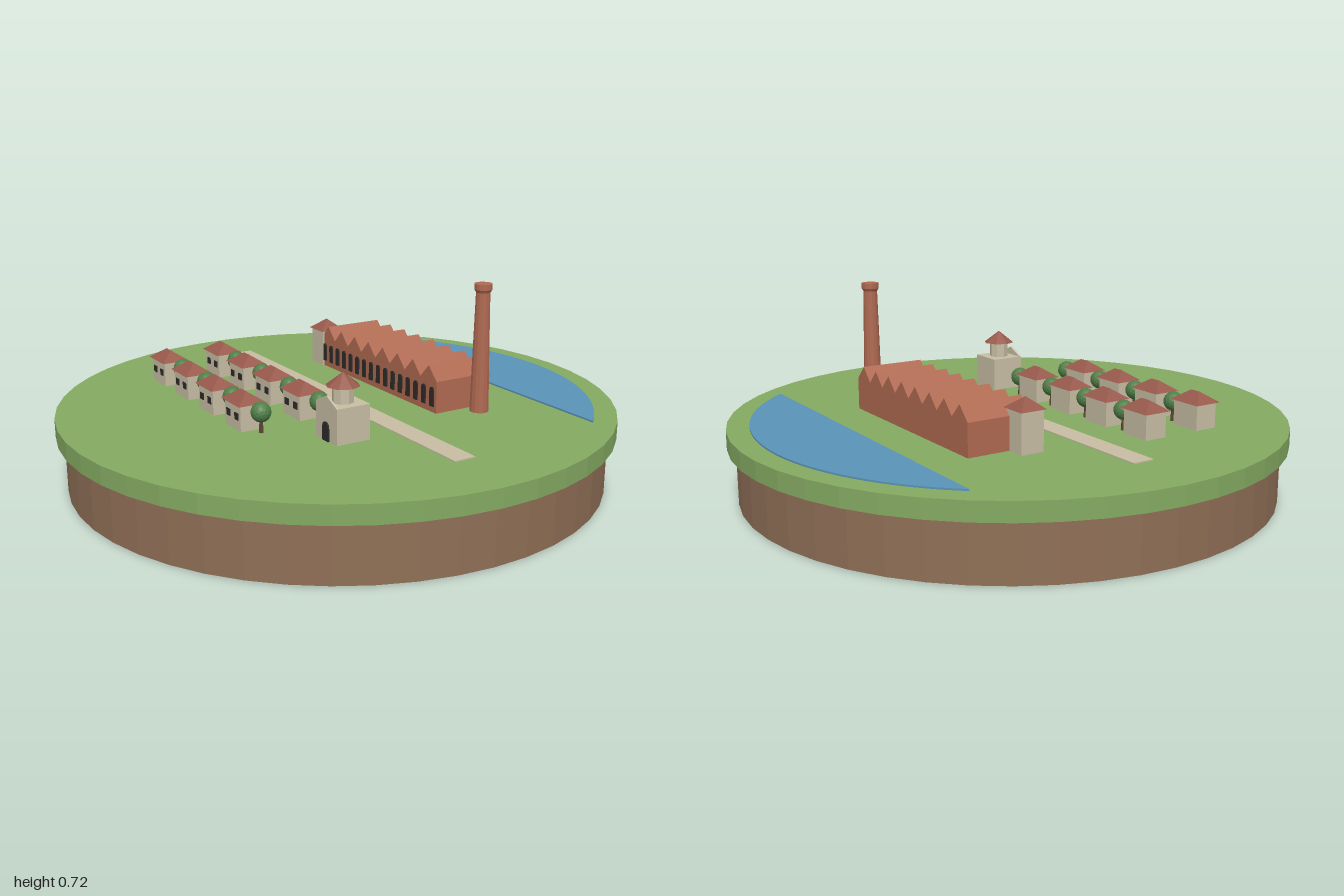
import * as THREE from 'three';
import { ConvexGeometry } from 'three/addons/geometries/ConvexGeometry.js';

const GROUND = 0.265;

function material(name, color) {
  const m = new THREE.MeshStandardMaterial({ color, flatShading: true });
  m.name = name;
  return m;
}

export function createModel() {
  const grass = material('grass', 0x84aa62);
  const soil = material('soil', 0x8f6f56);
  const water = material('water', 0x5a93b8);
  const paving = material('paving', 0xc8bda3);
  const plaster = material('plaster', 0xc8bea4);
  const brick = material('brick', 0xb06a52);
  const tile = material('roof tile', 0x98594c);
  const dark = material('dark opening', 0x2e2a2a);
  const leaf = material('leaf', 0x517f48);
  const bark = material('bark', 0x5d4532);

  const model = new THREE.Group();
  model.name = 'factoryTown';
  // Everything on the disc follows one slanted street
  const town = new THREE.Group();
  town.name = 'town';
  town.rotation.y = -THREE.MathUtils.degToRad(20);
  town.position.y = GROUND;
  model.add(town);

  function add(parent, name, geometry, mat, x = 0, y = 0, z = 0) {
    const mesh = new THREE.Mesh(geometry, mat);
    mesh.name = name;
    mesh.position.set(x, y, z);
    parent.add(mesh);
    return mesh;
  }
  function group(name, x, z) {
    const g = new THREE.Group();
    g.name = name;
    g.position.set(x, 0, z);
    town.add(g);
    return g;
  }
  // Box standing on its base
  function block(parent, name, w, h, d, mat, x = 0, y = 0, z = 0) {
    return add(parent, name, new THREE.BoxGeometry(w, h, d), mat, x, y + h / 2, z);
  }
  // Hipped roof; a zero ridge gives a pyramid
  function hipRoof(w, d, h, ridge) {
    const pts = [];
    for (const x of [-1, 1]) {
      for (const z of [-1, 1]) pts.push(new THREE.Vector3(x * w / 2, 0, z * d / 2));
      if (ridge > 0) pts.push(new THREE.Vector3(x * ridge / 2, h, 0));
    }
    if (!ridge) pts.push(new THREE.Vector3(0, h, 0));
    return new ConvexGeometry(pts);
  }
  function extrude(shape, depth) {
    return new THREE.ExtrudeGeometry(shape, { depth, bevelEnabled: false, curveSegments: 32 });
  }
  // Thin arched plate for doors and windows
  function archPlate(w, h) {
    const s = new THREE.Shape();
    s.moveTo(-w / 2, 0);
    s.lineTo(w / 2, 0);
    s.lineTo(w / 2, h - w / 2);
    s.absarc(0, h - w / 2, w / 2, 0, Math.PI);
    return new THREE.ExtrudeGeometry(s, { depth: 0.005, bevelEnabled: false, curveSegments: 6 });
  }

  // Ground disc
  add(model, 'soilDisc', new THREE.CylinderGeometry(0.97, 0.97, 0.2, 48), soil, 0, 0.1, 0);
  add(model, 'grassDisc', new THREE.CylinderGeometry(1, 1, 0.065, 48), grass, 0, 0.2325, 0);

  // Lake and street
  const a = Math.asin(0.595 / 0.92);
  const lakeShape = new THREE.Shape();
  lakeShape.absarc(0, 0, 0.92, a, Math.PI - a);
  add(town, 'lake', extrude(lakeShape, 0.006).rotateX(-Math.PI / 2), water);
  block(town, 'street', 1.52, 0.004, 0.08, paving);

  // Factory hall with a row of roof ridges
  const L = 0.77, D = 0.234, bays = 8, eave = 0.115, peak = 0.165;
  const factory = group('factory', -0.042, -0.315);
  const hall = new THREE.Shape();
  hall.moveTo(-L / 2, 0);
  hall.lineTo(L / 2, 0);
  hall.lineTo(L / 2, eave);
  for (let i = bays - 1; i >= 0; i--) {
    hall.lineTo(-L / 2 + (i + 0.5) * L / bays, peak);
    hall.lineTo(-L / 2 + i * L / bays, eave);
  }
  add(factory, 'factoryHall', extrude(hall, D), brick, 0, 0, -D / 2);
  for (let i = 0; i < bays * 2; i++) {
    const x = -L / 2 + (i + 0.5) * L / (bays * 2);
    add(factory, 'factoryWindow', archPlate(0.022, 0.07), dark, x, 0.022, D / 2);
  }

  // Stair tower at the end of the hall
  const stair = group('stairTower', -0.454, -0.234);
  block(stair, 'stairTowerWalls', 0.085, 0.14, 0.085, plaster);
  add(stair, 'stairTowerRoof', hipRoof(0.1, 0.1, 0.04, 0), tile, 0, 0.14, 0);

  // Chimney with a flared rim
  const profile = [[0, 0], [0.034, 0], [0.025, 0.425], [0.031, 0.435], [0.031, 0.455], [0, 0.455]];
  const stack = new THREE.LatheGeometry(profile.map(([r, y]) => new THREE.Vector2(r, y)), 14);
  add(town, 'chimney', stack, brick, 0.391, 0, -0.35);

  // Two rows of cottages, each with a tree beside it
  const cottageRoof = hipRoof(0.135, 0.106, 0.036, 0.04);
  const crown = new THREE.IcosahedronGeometry(0.035, 2);
  const trunk = new THREE.CylinderGeometry(0.006, 0.009, 0.05, 6);
  for (const z of [0.204, 0.429]) {
    for (let i = 0; i < 4; i++) {
      const x = -0.523 + i * 0.21;
      const cottage = group('cottage', x, z);
      block(cottage, 'cottageWalls', 0.115, 0.092, 0.086, plaster);
      add(cottage, 'cottageRoof', cottageRoof, tile, 0, 0.09, 0);
      for (const side of [-1, 1]) {
        block(cottage, 'cottageWindow', 0.025, 0.024, 0.005, dark, side * 0.03, 0.037, 0.0435);
      }
      const tree = group('tree', x + 0.093, z - 0.015);
      add(tree, 'trunk', trunk, bark, 0, 0.025, 0);
      add(tree, 'crown', crown, leaf, 0, 0.071, 0);
    }
  }

  // Meeting hall with a gabled front and a small eight-sided turret
  const meeting = group('meetingHall', 0.382, 0.209);
  block(meeting, 'meetingHallWalls', 0.13, 0.122, 0.126, plaster);
  const gable = new THREE.Shape();
  gable.moveTo(-0.065, 0);
  gable.lineTo(0.065, 0);
  gable.lineTo(0, 0.03);
  add(meeting, 'frontGable', extrude(gable, 0.008), plaster, 0, 0.122, 0.055);
  add(meeting, 'meetingHallDoor', archPlate(0.036, 0.065), dark, 0, 0, 0.063);
  const turret = new THREE.CylinderGeometry(0.036, 0.036, 0.06, 8);
  add(meeting, 'turret', turret, plaster, 0, 0.15, 0);
  add(meeting, 'turretRoof', new THREE.ConeGeometry(0.058, 0.045, 8), tile, 0, 0.2, 0);

  return model;
}
